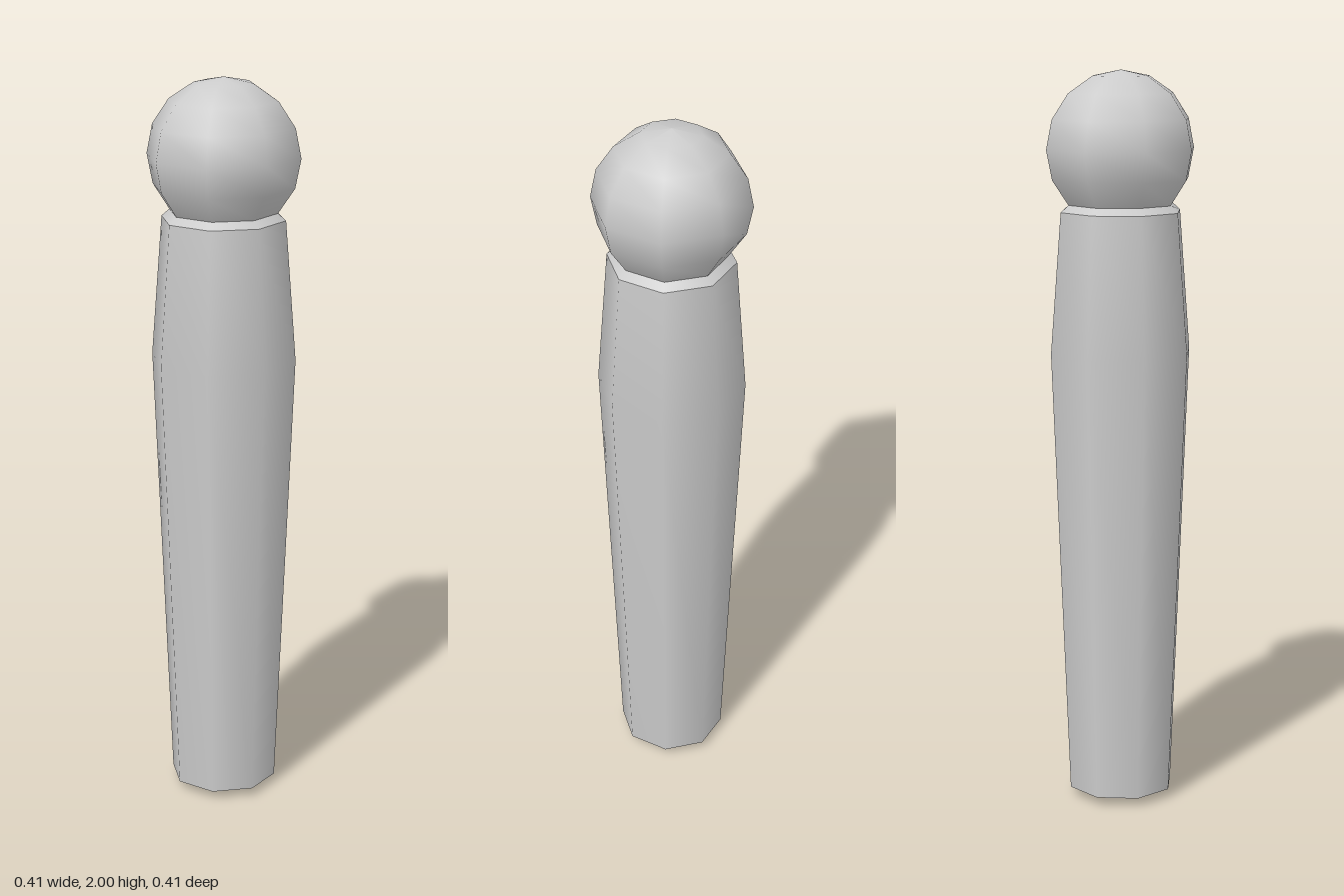
import * as THREE from 'three';

const SIDES = 8;
const material = new THREE.MeshStandardMaterial({ color: 0xcccccc, side: THREE.DoubleSide });

// Octagonal turned part from [radius, height] pairs, listed bottom to top
function turned(name, profile) {
  const points = profile.map(([r, y]) => new THREE.Vector2(r, y));
  const mesh = new THREE.Mesh(new THREE.LatheGeometry(points, SIDES), material);
  mesh.name = name;
  return mesh;
}

export function createModel() {
  const group = new THREE.Group();
  group.name = 'peg';

  // Base ring around the open hole underneath
  group.add(turned('baseRing', [[0.062, 0], [0.147, 0.025]]));

  // Tapered body, widest near the top
  group.add(turned('body', [[0.147, 0.025], [0.197, 1.25], [0.168, 1.628]]));

  // Bevelled shoulder leading in to the neck
  group.add(turned('shoulder', [[0.168, 1.628], [0.146, 1.647]]));

  // Ball head, cut off at the neck
  const radius = 0.207;
  const ball = [];
  for (let i = 6; i >= 0; i--) {
    const a = (i * Math.PI) / 8;
    ball.push([radius * Math.sin(a), 1.793 + radius * Math.cos(a)]);
  }
  group.add(turned('ballHead', ball));

  return group;
}
